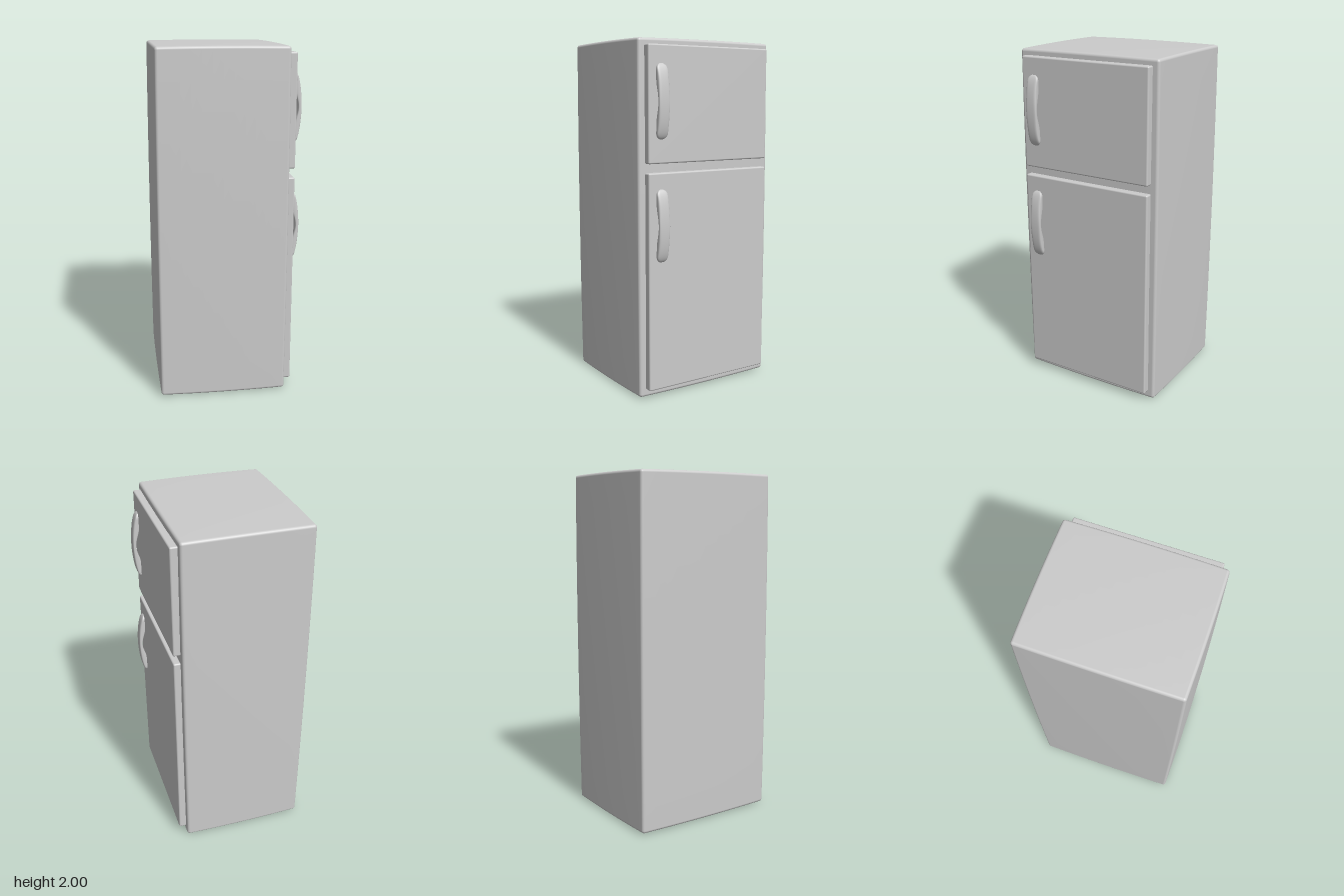
import * as THREE from 'three';
import { mergeVertices } from 'three/addons/utils/BufferGeometryUtils.js';
import { RoundedBoxGeometry } from 'three/addons/geometries/RoundedBoxGeometry.js';

const material = new THREE.MeshStandardMaterial({ color: 0xcccccc });

// Move every vertex by a rule, then weld for smooth normals
function reshape(geometry, rule) {
  const pos = geometry.attributes.position;
  const p = new THREE.Vector3();
  for (let i = 0; i < pos.count; i++) {
    rule(p.fromBufferAttribute(pos, i));
    pos.setXYZ(i, p.x, p.y, p.z);
  }
  geometry.deleteAttribute('uv');
  geometry.deleteAttribute('normal');
  const welded = mergeVertices(geometry, 1e-5);
  welded.computeVertexNormals();
  return welded;
}

// Cabinet: a rounded box whose faces swell slightly towards the middle
function cabinetGeometry() {
  const half = new THREE.Vector3(0.37, 1, 0.45);
  const r = 0.016;
  const core = half.clone().subScalar(r);
  const low = core.clone().negate();
  // grid lines gathered near the edges, -1..1 in, -half..half out
  const spread = (t, h) => {
    const a = Math.abs(t);
    const inner = 0.6;
    const d = a <= inner ? (a / inner) * (h - r) : h - r + ((a - inner) / (1 - inner)) * r;
    return Math.sign(t) * d;
  };
  return reshape(new THREE.BoxGeometry(2, 2, 2, 20, 20, 20), (p) => {
    p.set(spread(p.x, half.x), spread(p.y, half.y), spread(p.z, half.z));
    const c = p.clone().clamp(low, core);
    const d = p.clone().sub(c);
    if (d.lengthSq() > 0) p.copy(c).addScaledVector(d.normalize(), r);
    const u = (p.x / half.x) ** 2, v = (p.y / half.y) ** 2, w = (p.z / half.z) ** 2;
    p.x *= 1 - 0.01 * (v + w);
    p.y *= 1 - 0.0035 * (u + w);
    p.z *= 1 - 0.009 * (u + v);
  });
}

// Handle: arched grip with round ends and a finger gap behind its middle
function handleGeometry() {
  const halfLength = 0.203, halfWidth = 0.034;
  const soft = (s) => Math.sign(s) * Math.sqrt(Math.abs(s));
  return reshape(new THREE.CylinderGeometry(1, 1, 2, 24, 40, true), (p) => {
    const t = Math.sin((p.y * Math.PI) / 2);
    const fromEnd = halfLength * (1 - Math.abs(t));
    const width = fromEnd < halfWidth
      ? Math.sqrt(Math.max(0, halfWidth ** 2 - (halfWidth - fromEnd) ** 2))
      : halfWidth;
    const outer = 0.046 * Math.sqrt(Math.max(0, 1 - t * t));
    const gap = Math.abs(t) < 0.6 ? 0.025 * Math.cos((t / 0.6) * Math.PI / 2) ** 2 : 0;
    const inner = Math.min(gap, outer);
    p.x = (outer + inner) / 2 + soft(p.x) * (outer - inner) / 2;
    p.y = t * halfLength;
    p.z = soft(p.z) * width;
  });
}

function addPart(parent, name, geometry, x, y, z) {
  const mesh = new THREE.Mesh(geometry, material);
  mesh.name = name;
  mesh.position.set(x, y, z);
  parent.add(mesh);
}

export function createModel() {
  const fridge = new THREE.Group();
  fridge.name = 'refrigerator';

  addPart(fridge, 'cabinet', cabinetGeometry(), -0.038, 1, 0);

  // Freezer door above, main door below, each with its handle
  const doors = [
    { name: 'freezerDoor', bottom: 1.325, top: 1.96, handleY: 1.658 },
    { name: 'mainDoor', bottom: 0.05, top: 1.275, handleY: 0.983 },
  ];
  for (const { name, bottom, top, handleY } of doors) {
    const door = new THREE.Group();
    door.name = name;
    const panel = new RoundedBoxGeometry(0.05, top - bottom, 0.81, 4, 0.009);
    addPart(door, name + 'Panel', panel, 0.343, (top + bottom) / 2, 0);
    addPart(door, name + 'Handle', handleGeometry(), 0.363, handleY, 0.326);
    fridge.add(door);
  }
  return fridge;
}
